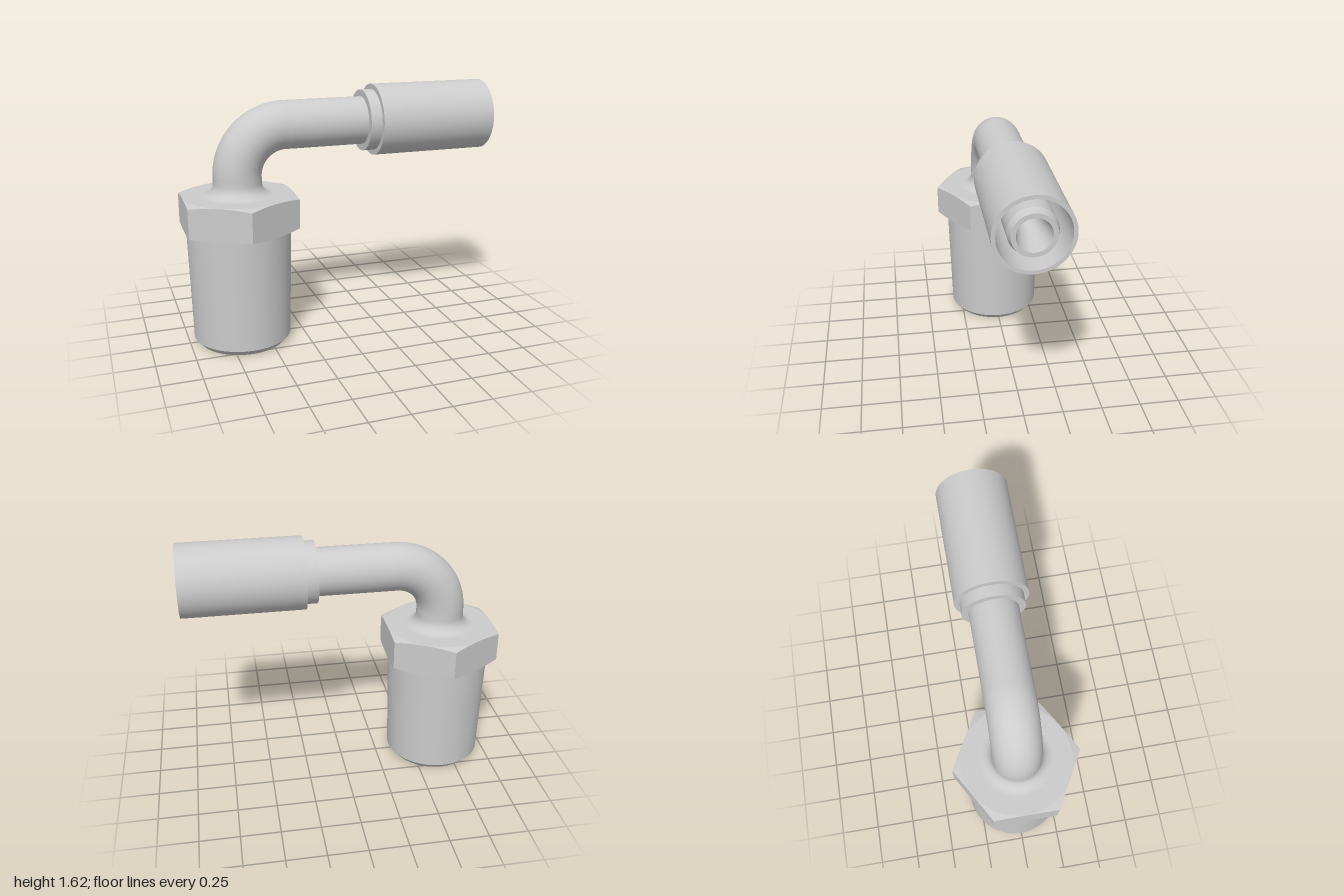
import * as THREE from 'three';
import { toCreasedNormals } from 'three/addons/utils/BufferGeometryUtils.js';

const AXIS_X = -0.655;   // upright axis of the threaded end
const HOSE_Y = 1.39;     // height of the horizontal axis
const TUBE_R = 0.152;
const BEND_R = 0.305;

const material = new THREE.MeshStandardMaterial({ color: 0xcccccc });

function mesh(name, geometry) {
  const m = new THREE.Mesh(geometry, material);
  m.name = name;
  return m;
}

// Turned part from [radius, height] pairs
function turned(profile, segments = 72) {
  return new THREE.LatheGeometry(profile.map(([r, h]) => new THREE.Vector2(r, h)), segments);
}

function upright(name, profile) {
  const m = mesh(name, toCreasedNormals(turned(profile), 0.4));
  m.position.x = AXIS_X;
  return m;
}

function horizontal(name, profile) {
  const m = mesh(name, toCreasedNormals(turned(profile).rotateZ(-Math.PI / 2), 0.2));
  m.position.y = HOSE_Y;
  return m;
}

// Hexagon nut with corners cut by a shallow cone above and below
function hexGeometry(bottom, top, apothem) {
  const corner = 0.4, rim = apothem - 0.002;
  const g = turned([[0.2, bottom], [rim, bottom], [corner, bottom], [corner, top], [rim, top], [0.1, top]]);
  const p = g.attributes.position;
  for (let i = 0; i < p.count; i++) {
    const x = p.getX(i), z = p.getZ(i), r = Math.hypot(x, z);
    if (r < corner - 0.001) continue;
    const step = Math.PI / 3;
    const a = (Math.atan2(x, z) + 2 * Math.PI) % step - step / 2;
    const hexR = apothem / Math.cos(a);
    const drop = (hexR - rim) * 0.27;
    const y = p.getY(i);
    p.setXYZ(i, x * hexR / r, y > (bottom + top) / 2 ? y - drop : y + drop, z * hexR / r);
  }
  return toCreasedNormals(g, 0.18);
}

export function createModel() {
  const group = new THREE.Group();

  // Tapered threaded end with a chamfered tip and a bore
  group.add(upright('taperedEnd', [
    [0, 0.6], [0.14, 0], [0.28, 0], [0.313, 0.038], [0.33, 0.757],
  ]));

  const hex = mesh('hexNut', hexGeometry(0.755, 0.97, 0.345));
  hex.position.x = AXIS_X;
  group.add(hex);

  // Rounded root where the tube meets the nut
  const fillet = 0.075, root = [];
  for (let i = 0; i <= 10; i++) {
    const a = i / 10 * Math.PI / 2;
    root.push([TUBE_R + fillet * (1 - Math.sin(a)), 0.97 + fillet * (1 - Math.cos(a))]);
  }
  root.push([TUBE_R, HOSE_Y - BEND_R]);
  group.add(upright('tubeRoot', root));

  // Quarter bend
  const bend = mesh('tubeBend', new THREE.TorusGeometry(BEND_R, TUBE_R, 64, 40, Math.PI / 2));
  bend.rotation.z = Math.PI / 2;
  bend.position.set(AXIS_X + BEND_R, HOSE_Y - BEND_R, 0);
  group.add(bend);

  // Straight tube, collar, crimp sleeve and inner nipple along x
  group.add(horizontal('straightTube', [[TUBE_R, AXIS_X + BEND_R], [TUBE_R, 0.165]]));
  group.add(horizontal('collar', [[0.15, 0.162], [0.195, 0.162], [0.195, 0.236]]));
  group.add(horizontal('crimpSleeve', [
    [0.19, 0.235], [0.228, 0.235], [0.228, 1], [0.205, 1], [0.2, 0.3], [0.13, 0.3],
  ]));
  group.add(horizontal('nipple', [
    [0.14, 0.3], [0.14, 0.95], [0.126, 1], [0.099, 1], [0, 0.4],
  ]));

  return group;
}
